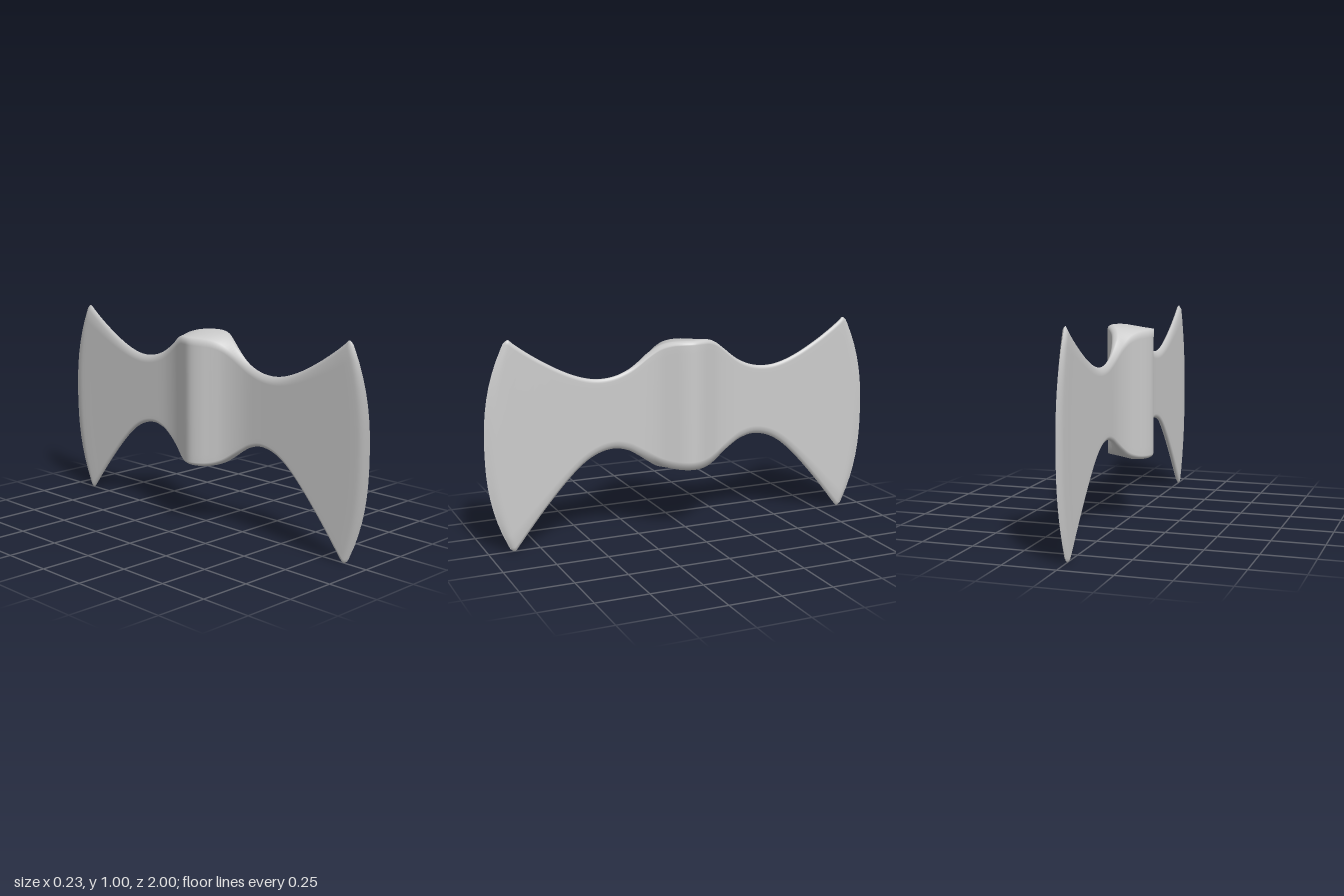
import * as THREE from 'three';

// Stations from hub to cutting edge: [z, top y, bottom y, half thickness]
const STATIONS = [
  [0, 0.951, 0.303, 0.113],
  [0.05, 0.95, 0.304, 0.1],
  [0.1, 0.944, 0.311, 0.073],
  [0.15, 0.925, 0.33, 0.046],
  [0.2, 0.89, 0.363, 0.029],
  [0.25, 0.85, 0.398, 0.019],
  [0.3, 0.818, 0.427, 0.0145],
  [0.37, 0.793, 0.443, 0.0135],
  [0.45, 0.787, 0.428, 0.0135],
  [0.53, 0.802, 0.382, 0.0135],
  [0.62, 0.838, 0.298, 0.0135],
  [0.72, 0.893, 0.186, 0.0135],
  [0.8, 0.945, 0.088, 0.0135],
  [0.85, 0.982, 0.024, 0.0135],
  [0.873, 1, 0, 0.011],
  [0.895, 0.985, 0.012, 0],
];
const TIP = 0.895;

// Rounded, upright cross-section, counter-clockwise seen from +z
function section(top, bottom, t) {
  const rx = Math.min(t, 0.03), ry = 0.02, pts = [];
  const side = 16, arc = 5;
  for (let i = 0; i <= side; i++) pts.push([t, THREE.MathUtils.lerp(bottom + ry, top - ry, i / side)]);
  for (let i = 1; i <= arc; i++) {
    const a = (i / arc) * Math.PI / 2;
    pts.push([t - rx + rx * Math.cos(a), top - ry + ry * Math.sin(a)]);
  }
  // the other half is this one turned by 180 degrees, with bottom corners to match
  const mid = top + bottom;
  return [...pts, ...pts.map(([x, y]) => [-x, mid - y])];
}

function axeHeadGeometry() {
  const mirrored = STATIONS.slice(1).reverse().map(([z, a, b, t]) => [-z, a, b, t]);
  const all = [...mirrored, ...STATIONS];
  const outline = new THREE.CatmullRomCurve3(all.map(([z, a, b]) => new THREE.Vector3(z, a, b)), false, 'catmullrom');
  const thickness = new THREE.CatmullRomCurve3(all.map((s) => new THREE.Vector3(s[3], 0, 0)), false, 'catmullrom');
  const steps = (all.length - 1) * 4;
  const pos = [], index = [];
  let ring = 0;
  for (let i = 0; i <= steps; i++) {
    const { x: zTip, y: top, z: bottom } = outline.getPoint(i / steps);
    const t = Math.max(0, thickness.getPoint(i / steps).x);
    const pts = section(top, bottom, t);
    ring = pts.length;
    // stations bow outward toward the curved cutting edge
    const zMid = zTip * (1 + (1 / TIP - 1) * Math.pow(Math.abs(zTip) / TIP, 6));
    for (const [x, y] of pts) {
      const v = Math.min(1, Math.abs((2 * y - top - bottom) / (top - bottom)));
      pos.push(x, y, zMid + (zTip - zMid) * Math.pow(v, 2.4));
    }
  }
  for (let i = 0; i < steps; i++) {
    for (let j = 0; j < ring; j++) {
      const a = i * ring + j, b = i * ring + (j + 1) % ring;
      index.push(a, b, a + ring, b, b + ring, a + ring);
    }
  }
  const geo = new THREE.BufferGeometry();
  geo.setAttribute('position', new THREE.Float32BufferAttribute(pos, 3));
  geo.setIndex(index);
  geo.computeVertexNormals();
  return geo;
}

export function createModel() {
  const group = new THREE.Group();
  group.name = 'doubleAxeHead';
  const material = new THREE.MeshStandardMaterial({ color: 0xcccccc });
  // Thick hub flowing into two flared blades
  const head = new THREE.Mesh(axeHeadGeometry(), material);
  head.name = 'axeHead';
  group.add(head);
  return group;
}
